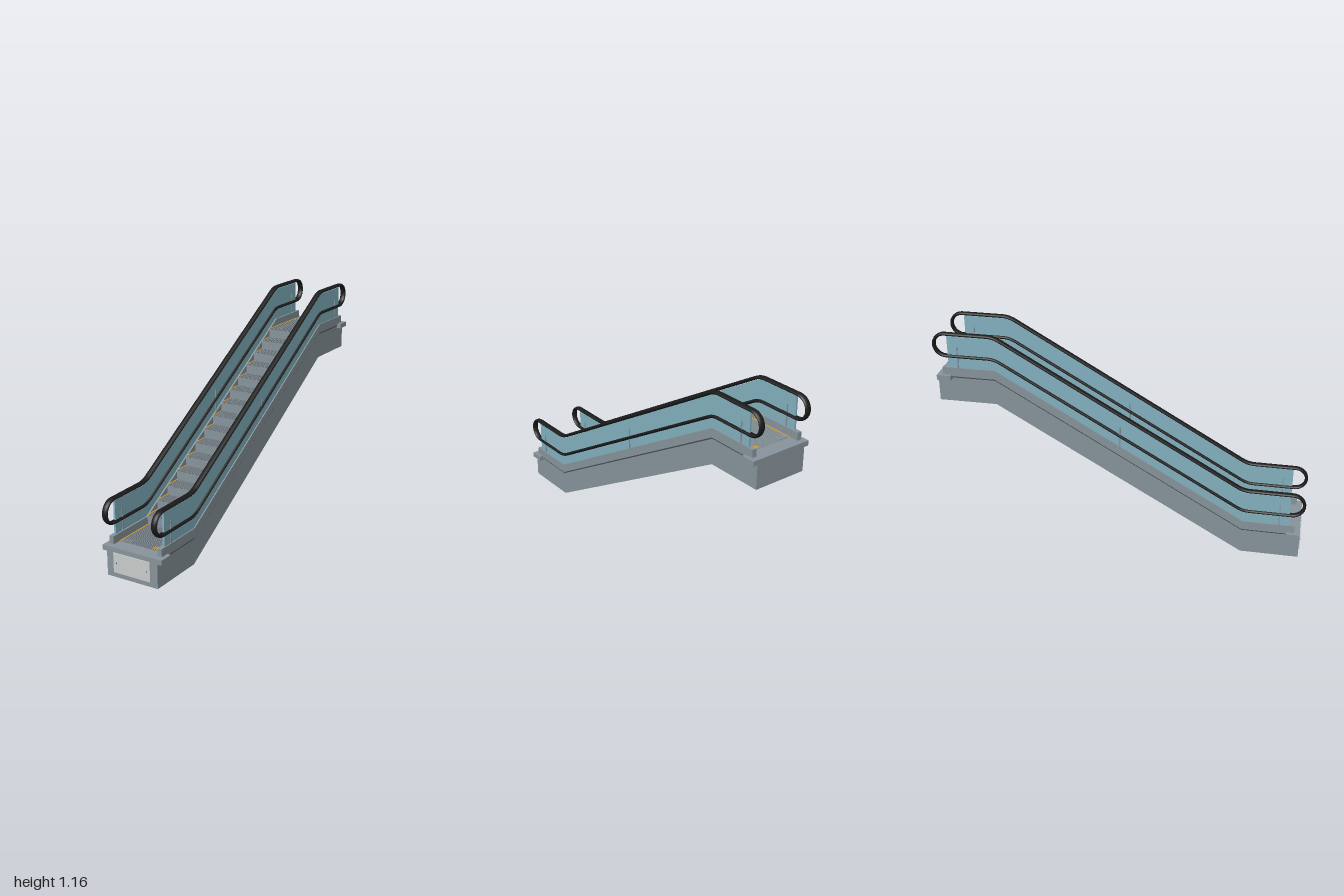
import * as THREE from 'three';

const mat = (name, color, side = THREE.FrontSide) => {
  const m = new THREE.MeshStandardMaterial({ color, side });
  m.name = name;
  return m;
};

const RISE = 0.772, BEND = 0.667;          // climb between the two bends
const STEPS = 15, RUN = 0.0893, STEP_H = RISE / STEPS;
const FLOOR = 0.155, HALF = 0.13;          // lower floor height, half stair width

export function createModel() {
  const steel = mat('steel', 0x87939b);
  const glass = mat('glass', 0x82b0be);
  const rubber = mat('black rubber', 0x1a1a1a);
  const seam = mat('dark seam', 0x454d52);
  const plate = mat('pale panel', 0xc8ccc9);
  const yellow = mat('safety yellow', 0xe0a020);

  const root = new THREE.Group();
  root.name = 'escalator';
  const add = (name, geo, material, x = 0, y = 0, z = 0) => {
    const m = new THREE.Mesh(geo, material);
    m.name = name;
    m.position.set(x, y, z);
    root.add(m);
    return m;
  };
  const box = (name, material, w, h, d, x, y, z) =>
    add(name, new THREE.BoxGeometry(w, h, d), material, x, y, z);

  // Extrude a (z, y) outline across x, centred on x = 0
  const across = (pts, width) => {
    const shape = new THREE.Shape(pts.map(p => new THREE.Vector2(p[0], p[1])));
    const g = new THREE.ExtrudeGeometry(shape, { depth: width, bevelEnabled: false });
    return g.translate(0, 0, -width / 2).rotateY(-Math.PI / 2);
  };
  // Band that runs flat, climbs, and runs flat again
  const band = (lo, hi, end, width) => across([
    [end, lo], [BEND, lo], [-BEND, lo + RISE], [-end, lo + RISE],
    [-end, hi + RISE], [-BEND, hi + RISE], [BEND, hi], [end, hi],
  ], width);

  // Solid truss with the stair profile on top
  const ribH = 0.008;
  const outline = [[0.98, 0], [0.98, FLOOR - ribH]];
  for (let k = 0; k < STEPS; k++) {
    const z = BEND - k * RUN, y = FLOOR - ribH + k * STEP_H;
    outline.push([z, y], [z, y + STEP_H]);
  }
  outline.push([-0.98, FLOOR - ribH + RISE], [-0.98, RISE], [-BEND, RISE], [BEND, 0]);
  add('truss', across(outline, 2 * HALF), steel);

  // Ribbed tread surface, grooves running along z
  const ribbed = depth => {
    const n = 30, p = 2 * HALF / n, s = new THREE.Shape();
    s.moveTo(-HALF, 0);
    s.lineTo(HALF, 0);
    for (let i = n - 1; i >= 0; i--) {
      const x = -HALF + i * p;
      s.lineTo(x + p, ribH);
      s.lineTo(x + p * 0.5, ribH);
      s.lineTo(x + p * 0.5, 0.002);
      s.lineTo(x, 0.002);
    }
    return new THREE.ExtrudeGeometry(s, { depth, bevelEnabled: false });
  };
  const treadGeo = ribbed(RUN);
  for (let k = 0; k <= STEPS; k++) {
    const top = FLOOR + k * STEP_H;
    const front = k === 0 ? 0.905 : BEND - (k - 1) * RUN;
    const back = k === 0 ? BEND : k === STEPS ? -0.905 : front - RUN;
    const landing = k === 0 || k === STEPS;
    add(landing ? 'landingFloor' : 'tread', landing ? ribbed(front - back) : treadGeo,
      steel, 0, top - ribH, back);
    // Yellow side markings
    for (const s of [-1, 1]) {
      box('edgeMarking', yellow, 0.006, 0.002, front - back,
        s * (HALF - 0.003), top + 0.0005, (front + back) / 2);
    }
  }

  // Landing plates and comb teeth at both ends
  for (const e of [1, -1]) {
    const y = e > 0 ? FLOOR : FLOOR + RISE;
    box('landingPlate', steel, 0.35, 0.027, 0.076, 0, y - 0.0135, e * 0.942);
    for (let i = 0; i < 7; i++) {
      const x = 0.064 + i * 0.009;
      box('combTooth', yellow, 0.006, 0.004, 0.028, x, y + 0.001, e * 0.882);
      box('combTooth', steel, 0.006, 0.004, 0.028, -x, y + 0.001, e * 0.882);
    }
  }

  // Handrail loop: flattened tube on a closed side path
  const r = 0.009, lo = 0.26, hi = 0.383, rad = (hi - lo) / 2, zc = 1 - r - rad;
  const slope = RISE / (2 * BEND), b = 0.035;
  const path = new THREE.Path();
  path.moveTo(zc, lo);
  path.absarc(zc, lo + rad, rad, -Math.PI / 2, Math.PI / 2, false);
  path.lineTo(BEND + b, hi);
  path.quadraticCurveTo(BEND, hi, BEND - b, hi + b * slope);
  path.lineTo(-BEND + b, hi + RISE - b * slope);
  path.quadraticCurveTo(-BEND, hi + RISE, -BEND - b, hi + RISE);
  path.lineTo(-zc, hi + RISE);
  path.absarc(-zc, lo + RISE + rad, rad, Math.PI / 2, Math.PI * 1.5, false);
  path.lineTo(-BEND - b, lo + RISE);
  path.quadraticCurveTo(-BEND, lo + RISE, -BEND + b, lo + RISE - b * slope);
  path.lineTo(BEND - b, lo + b * slope);
  path.quadraticCurveTo(BEND, lo, BEND + b, lo);
  path.lineTo(zc, lo);
  const pts = path.getSpacedPoints(300).slice(0, -1)
    .map(p => new THREE.Vector3(0, p.y, p.x));
  const loop = new THREE.CatmullRomCurve3(pts, true);
  const railGeo = new THREE.TubeGeometry(loop, 300, r, 12, true).scale(1.85, 1, 1);
  railGeo.computeVertexNormals();

  // Mirrored sides
  const sideGeo = band(0, 0.148, 0.98, 0.02);
  const skirtGeo = band(0.146, 0.196, 0.95, 0.025);
  const seamGeo = band(0.138, 0.146, 0.905, 0.004);
  const glassGeo = band(0.19, 0.371, 0.918, 0.01);
  for (const s of [-1, 1]) {
    add('sidePanel', sideGeo, steel, s * 0.139);
    add('skirt', skirtGeo, steel, s * 0.1425);
    add('sideSeam', seamGeo, seam, s * 0.149);
    add('glassPanel', glassGeo, glass, s * 0.144);
    add('handrail', railGeo, rubber, s * 0.144);
    for (const [z, y] of [[0.865, 0.25], [0, 0.25 + RISE / 2], [-0.865, 0.25 + RISE]]) {
      box('glassClamp', steel, 0.018, 0.125, 0.006, s * 0.144, y, z);
    }
  }

  // Access panel with two screws
  box('accessPanel', plate, 0.216, 0.104, 0.006, 0, 0.078, 0.982);
  for (const s of [-1, 1]) {
    const screw = new THREE.CylinderGeometry(0.003, 0.003, 0.004, 10).rotateX(Math.PI / 2);
    add('panelScrew', screw, seam, s * 0.09, 0.078, 0.985);
  }
  return root;
}
